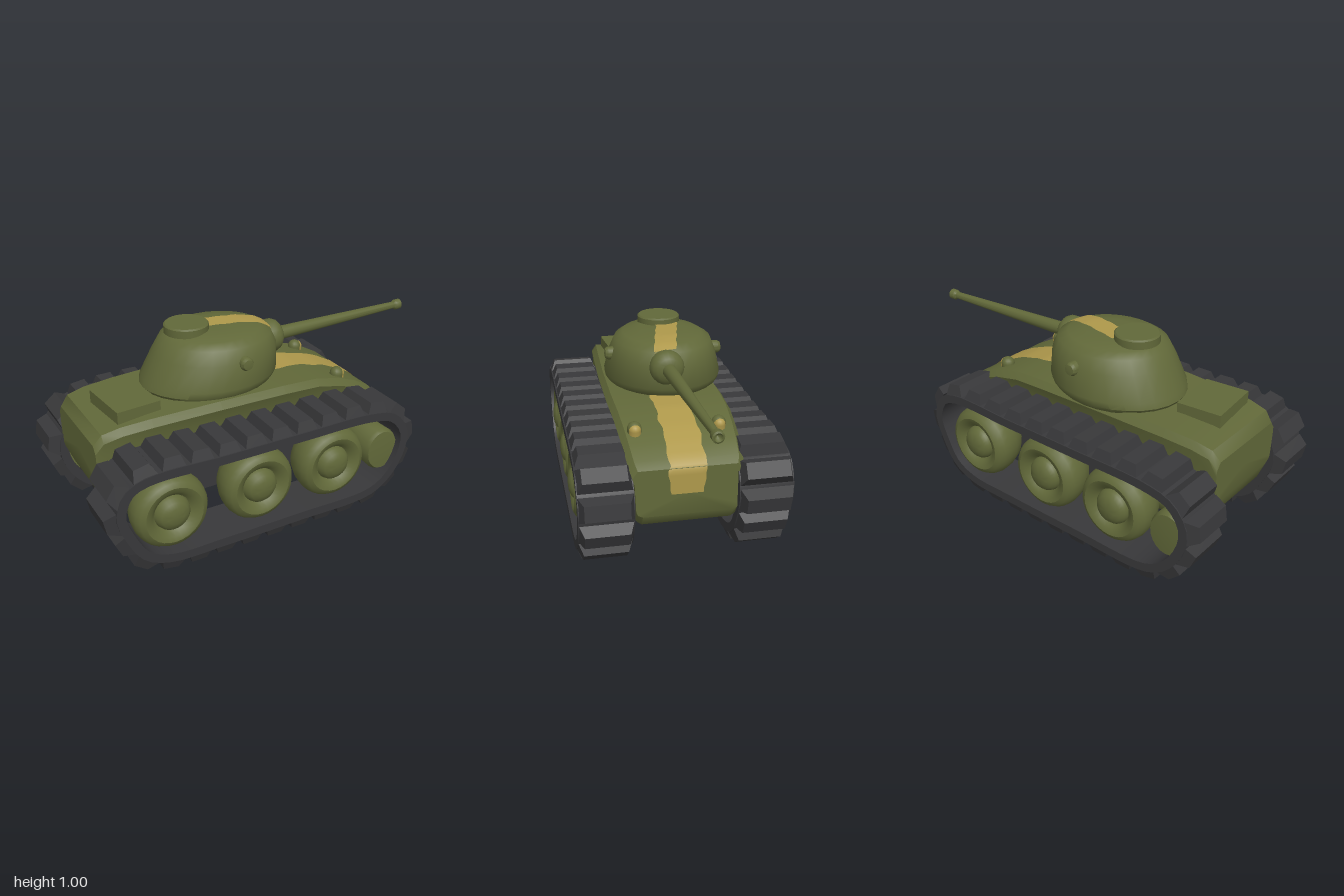
import * as THREE from 'three';
import { toCreasedNormals } from 'three/addons/utils/BufferGeometryUtils.js';

const paint = (name, color) => Object.assign(new THREE.MeshStandardMaterial({ color }), { name });

export function createModel() {
  const green = paint('olive green', 0x616839);
  const tan = paint('sand yellow', 0xae984b);
  const dark = paint('track grey', 0x38383a);
  tan.side = dark.side = THREE.DoubleSide;

  const root = new THREE.Group();
  root.name = 'tank';

  const add = (parent, name, geometry, material, x = 0, y = 0, z = 0) => {
    const mesh = new THREE.Mesh(geometry, material);
    mesh.name = name;
    mesh.position.set(x, y, z);
    parent.add(mesh);
    return mesh;
  };

  const lathe = (profile, segments = 24) => toCreasedNormals(
    new THREE.LatheGeometry(profile.map(([r, y]) => new THREE.Vector2(r, y)), segments), 0.65);

  // Closed skin over a row of equal-length rings, capped at both ends
  const loft = (rings, crease) => {
    const n = rings[0].length, pos = rings.flat(2), index = [];
    for (let i = 0; i < rings.length - 1; i++) {
      for (let j = 0; j < n; j++) {
        const k = (j + 1) % n, a = i * n + j, b = i * n + k;
        index.push(a, b, b + n, a, b + n, a + n);
      }
    }
    [0, rings.length - 1].forEach((r) => {
      const c = pos.length / 3;
      for (let k = 0; k < 3; k++) pos.push(rings[r].reduce((s, p) => s + p[k], 0) / n);
      for (let j = 0; j < n; j++) {
        const a = r * n + j, b = r * n + (j + 1) % n;
        index.push(c, ...(r ? [a, b] : [b, a]));
      }
    });
    const g = new THREE.BufferGeometry();
    g.setAttribute('position', new THREE.Float32BufferAttribute(pos, 3));
    g.setIndex(index);
    return toCreasedNormals(g, crease);
  };

  // Painted band draped on a mesh; each row is { dir, points }
  const drape = (mesh, rows) => {
    const pos = [], index = [], n = rows[0].points.length;
    mesh.updateMatrixWorld(true);
    rows.forEach(({ dir, points }) => points.forEach((p) => {
      const hit = new THREE.Raycaster(p, dir).intersectObject(mesh)[0];
      const q = (hit ? hit.point : p).clone().addScaledVector(dir, -0.005);
      pos.push(q.x, q.y, q.z);
    }));
    for (let i = 0; i < rows.length - 1; i++) {
      for (let j = 0; j < n - 1; j++) {
        const a = i * n + j;
        index.push(a, a + 1, a + n + 1, a, a + n + 1, a + n);
      }
    }
    const g = new THREE.BufferGeometry();
    g.setAttribute('position', new THREE.Float32BufferAttribute(pos, 3));
    g.setIndex(index);
    g.computeVertexNormals();
    return g;
  };
  const down = new THREE.Vector3(0, -1, 0), back = new THREE.Vector3(-1, 0, 0);
  const bandRow = (dir, x, y, z, half) => ({
    dir,
    points: Array.from({ length: 9 }, (_, j) => new THREE.Vector3(x, y, z + half * (j / 4 - 1))),
  });

  // Hull: stations of x, bottom, top, half width at the shoulder
  const hullRing = ([x, bot, top, w]) => {
    const h = top - bot;
    const half = [[w - 0.025, top], [w, top - 0.035], [0.252, top - h * 0.3],
      [0.246, bot + h * 0.13], [0.238, bot + h * 0.05], [0.215, bot]];
    const left = half.map(([z, y]) => [x, y, z - 0.014]);
    const right = half.map(([z, y]) => [x, y, -z - 0.014]).reverse();
    return [...left, ...right];
  };
  const hull = add(root, 'hull', loft([
    [-0.93, 0.38, 0.60, 0.25], [-0.89, 0.28, 0.65, 0.26], [-0.8, 0.21, 0.67, 0.268],
    [-0.65, 0.195, 0.68, 0.278], [-0.3, 0.195, 0.69, 0.295], [0.05, 0.195, 0.69, 0.3],
    [0.25, 0.195, 0.68, 0.295], [0.4, 0.195, 0.645, 0.287], [0.5, 0.2, 0.605, 0.28],
    [0.585, 0.235, 0.56, 0.272], [0.62, 0.29, 0.53, 0.262],
  ].map(hullRing), 0.65), green);

  // Hull stripe runs down the sloping deck and over the nose
  const hullRows = [];
  for (let i = 0; i <= 18; i++) {
    hullRows.push(bandRow(down, 0.1 + i * 0.0285, 2, -0.016 + 0.004 * Math.sin(i * 0.9), 0.087 + 0.004 * Math.sin(i * 1.6)));
  }
  for (let i = 0; i <= 5; i++) {
    hullRows.push(bandRow(back, 2, 0.52 - i * 0.024, -0.01 + 0.003 * Math.sin(i * 2), 0.092 - 0.003 * i));
  }
  add(root, 'hullStripe', drape(hull, hullRows), tan);

  // Engine box on the rear deck
  const box = add(root, 'engineBox', new THREE.BoxGeometry(0.225, 0.1, 0.29), green, -0.7, 0.68, 0.045);
  box.rotation.y = 0.09;

  // Turret: levels of y, x range, z range
  const turret = add(root, 'turret', loft([
    [0.675, -0.55, 0.11, -0.33, 0.23], [0.7, -0.568, 0.135, -0.35, 0.25], [0.73, -0.558, 0.15, -0.355, 0.257],
    [0.85, -0.495, 0.15, -0.322, 0.232], [0.915, -0.455, 0.12, -0.295, 0.205],
    [0.942, -0.42, 0.07, -0.25, 0.16], [0.957, -0.35, -0.02, -0.17, 0.07],
  ].map(([y, x0, x1, z0, z1]) => Array.from({ length: 28 }, (_, i) => {
    const a = i / 28 * Math.PI * 2;
    return [(x0 + x1) / 2 + (x1 - x0) / 2 * Math.sin(a), y, (z0 + z1) / 2 + (z1 - z0) / 2 * Math.cos(a)];
  })), 0.7), green);

  const turretRows = Array.from({ length: 17 }, (_, i) => bandRow(down, -0.24 + i * 0.0215, 2,
    -0.085 + i * 0.0048, 0.056 + 0.003 * Math.sin(i * 1.4)));
  add(root, 'turretStripe', drape(turret, turretRows), tan);

  add(root, 'hatch', lathe([[0.112, 0], [0.112, 0.038], [0.104, 0.045], [0, 0.045]]), green, -0.32, 0.947, -0.055);
  [0.228, -0.32].forEach((z) => {
    const knob = add(root, 'turretKnob', lathe([[0.034, -0.03], [0.034, 0.018], [0.026, 0.032], [0, 0.036]], 14),
      green, -0.147, 0.845, z);
    knob.rotation.x = Math.sign(z) * Math.PI / 2;
  });

  // Gun with mantlet, swung slightly to one side
  const gun = new THREE.Group();
  gun.name = 'gun';
  gun.position.set(0.145, 0.845, -0.012);
  gun.rotation.y = 0.041;
  root.add(gun);
  const barrel = add(gun, 'barrel', lathe([[0.036, 0], [0.034, 0.12], [0.019, 0.81], [0.028, 0.822],
    [0.028, 0.852], [0.02, 0.856], [0.013, 0.84], [0, 0.83]], 16), green);
  const mantlet = add(gun, 'mantlet', lathe([[0.06, -0.07], [0.08, -0.055], [0.087, -0.025], [0.086, 0],
    [0.077, 0.02], [0.06, 0.035], [0.035, 0.044], [0, 0.045]], 20), green);
  barrel.rotation.z = mantlet.rotation.z = -Math.PI / 2;

  // Headlights with lenses bulging out of the front
  [0.202, -0.207].forEach((z) => {
    const lamp = add(root, 'headlight', new THREE.CapsuleGeometry(0.035, 0.04, 6, 14), green, 0.408, 0.633, z);
    const lens = add(root, 'headlightLens', new THREE.CapsuleGeometry(0.03, 0.03, 6, 14), tan, 0.421, 0.636, z);
    lamp.rotation.z = lens.rotation.z = -0.12;
  });

  // Track loop, running clockwise from the rear top
  const loop = new THREE.CatmullRomCurve3([
    [-0.8, 0.55], [-0.4, 0.55], [0, 0.55], [0.43, 0.545], [0.57, 0.51], [0.65, 0.42], [0.665, 0.33],
    [0.62, 0.2], [0.53, 0.1], [0.42, 0.055], [0, 0.05], [-0.4, 0.05], [-0.7, 0.06], [-0.83, 0.12],
    [-0.91, 0.25], [-0.95, 0.38], [-0.9, 0.505],
  ].map(([x, y]) => new THREE.Vector3(x, y, 0)), true);
  const WIDTH = 0.264;
  const edge = (inset) => Array.from({ length: 72 }, (_, i) => {
    const p = loop.getPointAt(i / 72), t = loop.getTangentAt(i / 72);
    return new THREE.Vector2(p.x + t.y * inset, p.y - t.x * inset);
  });
  const beltShape = new THREE.Shape(edge(0));
  beltShape.holes.push(new THREE.Path(edge(0.045).reverse()));
  const beltGeo = toCreasedNormals(
    new THREE.ExtrudeGeometry(beltShape, { depth: WIDTH, bevelEnabled: false }).translate(0, 0, -WIDTH / 2), 0.5);

  // Tread block: a box tapered towards its outer face
  const blockGeo = new THREE.BoxGeometry(0.122, 0.06, WIDTH * 0.98).translate(0, 0.02, 0);
  const bp = blockGeo.attributes.position;
  for (let i = 0; i < bp.count; i++) {
    if (bp.getY(i) > 0) bp.setXYZ(i, bp.getX(i) * 0.64, bp.getY(i), bp.getZ(i) * 0.82);
  }
  blockGeo.computeVertexNormals();

  // Wheels: fat rounded tyre around a domed hub
  const wheelGeo = lathe([[0, -0.14], [0.13, -0.14], [0.165, -0.1], [0.184, -0.05], [0.19, 0], [0.184, 0.035],
    [0.168, 0.06], [0.145, 0.072], [0.12, 0.065], [0.1, 0.045], [0.09, 0.035], [0.084, 0.055],
    [0.068, 0.073], [0.04, 0.084], [0, 0.088]], 28);
  const sprocketGeo = lathe([[0, -0.14], [0.095, -0.14], [0.1, 0.03], [0.09, 0.05], [0, 0.058]], 20);

  // Both tracks are the same unit; the right one is turned half round
  [1, -1].forEach((side) => {
    const group = new THREE.Group();
    group.name = side > 0 ? 'leftTrack' : 'rightTrack';
    group.position.set(side > 0 ? 0 : -0.29, 0, side * 0.38 - 0.005);
    group.rotation.y = side > 0 ? 0 : Math.PI;
    root.add(group);
    add(group, 'belt', beltGeo, dark);
    for (let i = 0; i < 27; i++) {
      const p = loop.getPointAt(i / 27), t = loop.getTangentAt(i / 27);
      add(group, 'treadBlock', blockGeo, dark, p.x, p.y, 0).rotation.z = Math.atan2(t.y, t.x);
    }
    [-0.665, -0.2, 0.225].forEach((x) => {
      add(group, 'roadWheel', wheelGeo, green, x, 0.303, 0.05).rotation.x = Math.PI / 2;
    });
    const sprocket = add(group, 'sprocket', sprocketGeo, green, 0.535, 0.29, 0.045);
    sprocket.rotation.x = Math.PI / 2;
    sprocket.scale.z = 1.17;
  });

  // Dark panels on the hull sides behind the wheels
  const panelShape = new THREE.Shape([[-0.6, 0.22], [0.44, 0.22], [0.58, 0.36], [0.58, 0.5], [-0.75, 0.5]]
    .map(([x, y]) => new THREE.Vector2(x, y)));
  const panelGeo = new THREE.ExtrudeGeometry(panelShape, { depth: 0.008, bevelEnabled: false });
  [1, -1].forEach((side) => add(root, 'sidePanel', panelGeo, dark, 0, 0, side * 0.252 - 0.018));

  return root;
}
